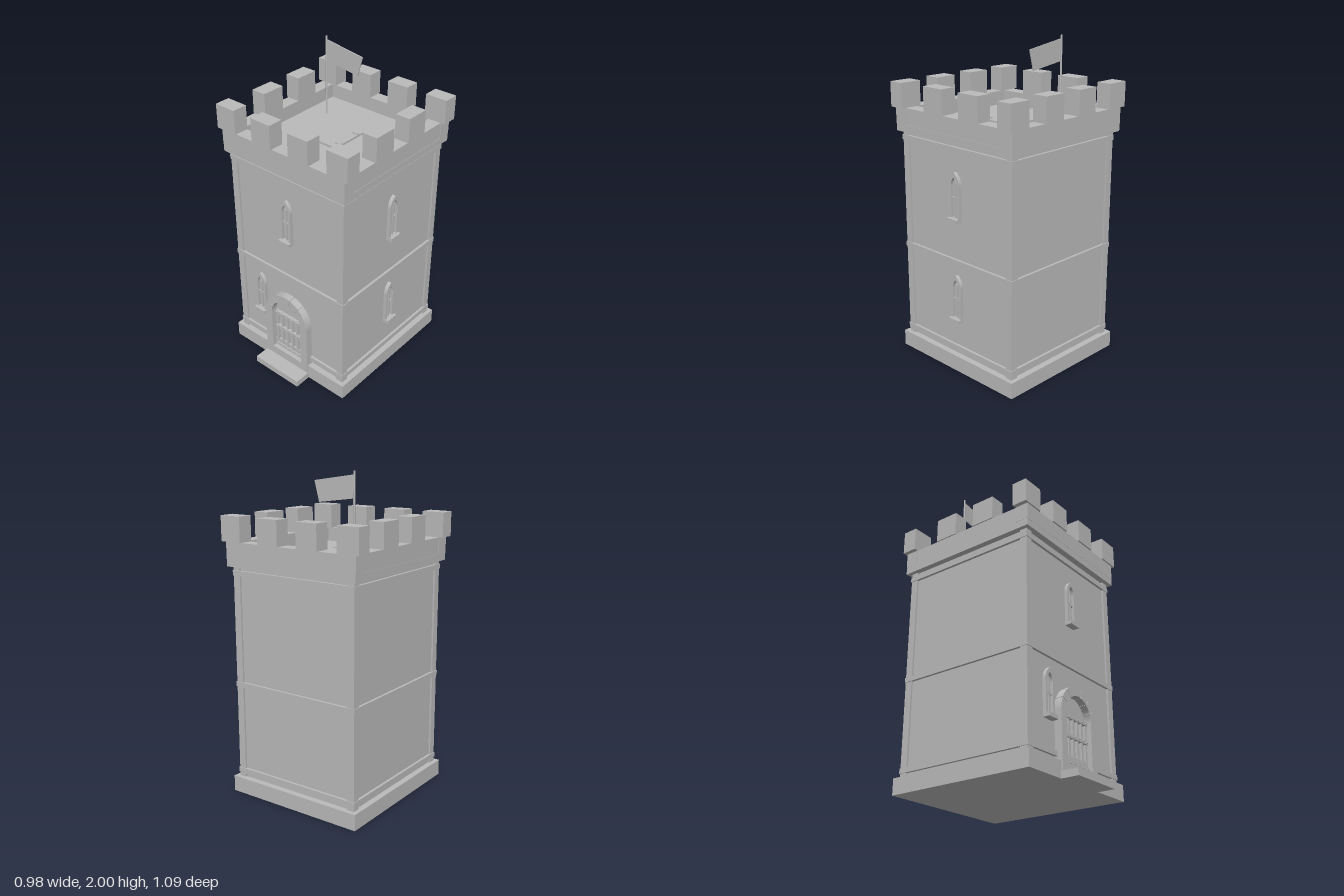
import * as THREE from 'three';

const stone = new THREE.MeshStandardMaterial({ color: 0xbababa });
stone.name = 'stone';

const ZC = -0.05; // tower centre in z
const WX = 0.425, WZ = 0.445; // half sizes of the wall core

function add(parent, name, geo, x = 0, y = 0, z = 0) {
  const m = new THREE.Mesh(geo, stone);
  m.name = name;
  m.position.set(x, y, z);
  parent.add(m);
  return m;
}

// box given by its min and max on each axis
function box(parent, name, x0, x1, y0, y1, z0, z1) {
  return add(parent, name, new THREE.BoxGeometry(x1 - x0, y1 - y0, z1 - z0),
    (x0 + x1) / 2, (y0 + y1) / 2, (z0 + z1) / 2);
}

// centred slab of the tower
function slab(parent, name, hx, hz, y0, y1) {
  return box(parent, name, -hx, hx, y0, y1, ZC - hz, ZC + hz);
}

function extrude(shape, depth) {
  return new THREE.ExtrudeGeometry(shape, { depth, bevelEnabled: false, curveSegments: 8 });
}

// pointed arch outline
function lancet(target, w, y0, spring, top) {
  const c = spring + (top - spring) * 0.6;
  target.moveTo(-w, y0);
  target.lineTo(w, y0);
  target.lineTo(w, spring);
  target.quadraticCurveTo(w, c, 0, top);
  target.quadraticCurveTo(-w, c, -w, spring);
  target.lineTo(-w, y0);
  return target;
}

// window facing +z, sill top at y = 0, wall plane at z = 0
function makeWindow() {
  const g = new THREE.Group();
  g.name = 'window';
  const frame = lancet(new THREE.Shape(), 0.042, -0.003, 0.2, 0.277);
  frame.holes.push(lancet(new THREE.Path(), 0.025, 0.001, 0.195, 0.247));
  add(g, 'windowFrame', extrude(frame, 0.022));
  add(g, 'windowPane', extrude(lancet(new THREE.Shape(), 0.027, 0, 0.195, 0.25), 0.004));
  box(g, 'windowMullion', -0.005, 0.005, 0, 0.215, 0.003, 0.014);
  box(g, 'windowCrossbar', -0.026, 0.026, 0.118, 0.127, 0.003, 0.014);
  box(g, 'windowSill', -0.043, 0.043, -0.023, 0, 0, 0.043);
  return g;
}

function makeDoor() {
  const g = new THREE.Group();
  g.name = 'door';
  const back = 0.38, front = 0.443, ri = 0.122, ro = 0.175, spring = 0.39;
  box(g, 'doorStep', -0.18, 0.18, 0, 0.042, 0.4, 0.545);
  box(g, 'threshold', -ro, ro, 0, 0.1, 0.4, front);
  for (const s of [-1, 1]) {
    const a = s * ri, b = s * ro;
    box(g, 'doorJamb', Math.min(a, b), Math.max(a, b), 0.1, spring, back, front);
  }
  // wedge stones of the arch
  const n = 7;
  for (let i = 0; i < n; i++) {
    const a0 = (i / n) * Math.PI + (i ? 0.008 : 0);
    const a1 = ((i + 1) / n) * Math.PI - (i < n - 1 ? 0.008 : 0);
    const s = new THREE.Shape();
    s.absarc(0, 0, ro, a0, a1, false);
    s.absarc(0, 0, ri, a1, a0, true);
    add(g, 'archStone', extrude(s, front - back), 0, spring, back);
  }
  // arched leaf
  const leaf = new THREE.Shape();
  leaf.moveTo(-ri, 0.09);
  leaf.lineTo(ri, 0.09);
  leaf.lineTo(ri, spring);
  leaf.absarc(0, spring, ri, 0, Math.PI, false);
  add(g, 'doorLeaf', extrude(leaf, 0.018), 0, 0, back);
  // grille
  for (let i = 0; i < 6; i++) {
    const x = -0.103 + i * 0.0425;
    box(g, 'grilleBar', x - 0.007, x + 0.007, 0.1, 0.395, 0.395, 0.414);
  }
  for (const y of [0.117, 0.27, 0.382]) {
    box(g, 'grilleRail', -0.112, 0.119, y - 0.01, y + 0.01, 0.395, 0.42);
    for (let i = 0; i < 6; i++) {
      const stud = add(g, 'grilleStud', new THREE.CylinderGeometry(0.005, 0.006, 0.006, 8),
        -0.103 + i * 0.0425, y, 0.422);
      stud.rotation.x = Math.PI / 2;
    }
  }
  return g;
}

export function createModel() {
  const model = new THREE.Group();
  model.name = 'castleTower';

  // body
  slab(model, 'plinth', 0.463, 0.484, 0, 0.1);
  slab(model, 'wallCore', WX, WZ, 0.1, 1.44);
  for (const sx of [-1, 1]) for (const sz of [-1, 1]) {
    const x = sx * 0.413, z = ZC + sz * 0.433;
    box(model, 'cornerPost', x - 0.024, x + 0.024, 0.1, 1.436, z - 0.024, z + 0.024);
  }
  for (const y of [0.127, 0.69, 1.38]) slab(model, 'wallBand', 0.441, 0.461, y, y + 0.031);
  slab(model, 'cornice', 0.463, 0.484, 1.435, 1.48);
  slab(model, 'roofFloor', 0.4, 0.42, 1.47, 1.495);

  // parapet walls and merlons
  for (const s of [-1, 1]) {
    const z = ZC + s * 0.4425;
    box(model, 'parapetWall', -0.464, 0.464, 1.48, 1.583, z - 0.0425, z + 0.0425);
    const x = s * 0.418;
    box(model, 'parapetSideWall', x - 0.043, x + 0.043, 1.48, 1.583, ZC - 0.401, ZC + 0.401);
    for (let i = 0; i < 4; i++) {
      const mx = (i - 1.5) * 0.279, mz = ZC + s * 0.4455;
      box(model, 'merlon', mx - 0.0725, mx + 0.0725, 1.583, 1.735, mz - 0.049, mz + 0.049);
    }
    for (const t of [-1, 1]) {
      const mx = s * 0.419, mz = ZC + t * 0.147;
      box(model, 'sideMerlon', mx - 0.049, mx + 0.049, 1.583, 1.735, mz - 0.077, mz + 0.077);
    }
  }

  // roof hatch
  box(model, 'hatch', -0.098, 0.1, 1.49, 1.508, -0.178, 0.081);
  for (const z of [-0.129, 0.033]) box(model, 'hatchHinge', 0.057, 0.098, 1.505, 1.516, z - 0.008, z + 0.008);

  // flag
  add(model, 'flagPole', new THREE.CylinderGeometry(0.006, 0.006, 0.51, 12), -0.25, 1.745, -0.245);
  const cloth = new THREE.Shape([[-0.248, 1.98], [-0.248, 1.848], [-0.006, 1.816], [0.027, 1.939]]
    .map(([x, y]) => new THREE.Vector2(x, y)));
  add(model, 'flag', extrude(cloth, 0.007), 0, 0, -0.2485);

  // windows: two on the front, two on the +x side
  for (const [x, y] of [[0, 0.985], [-0.24, 0.345]]) {
    const f = makeWindow();
    f.position.set(x, y, ZC + WZ);
    model.add(f);
    const r = makeWindow();
    r.position.set(WX, y, ZC);
    r.rotation.y = Math.PI / 2;
    model.add(r);
  }

  model.add(makeDoor());
  return model;
}
